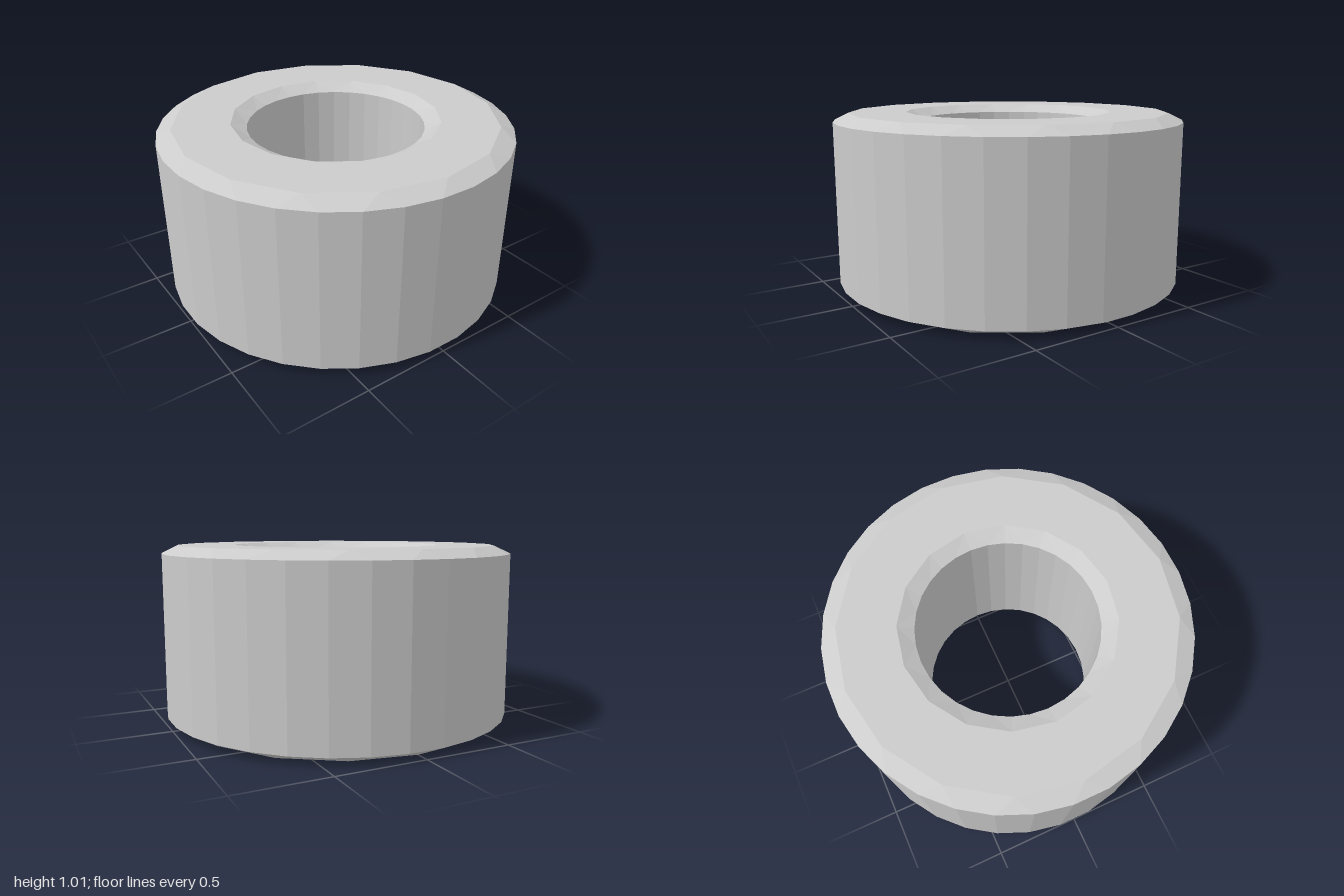
import * as THREE from 'three';

// A ring of n points at height y; phase turns it by a fraction of one step.
function ring(r, y, n, phase = 0) {
  const angle = i => (i + phase) * 2 * Math.PI / n;
  const point = i => [r * Math.sin(angle(i)), y, r * Math.cos(angle(i))];
  return { n, angle, point };
}

// Stitch two rings, which may have different numbers of points.
function stitch(a, b, out) {
  let i = 0, j = 0;
  while (i < a.n || j < b.n) {
    const stepA = j === b.n || (i < a.n && a.angle(i + 1) <= b.angle(j + 1) + 1e-6);
    const next = stepA ? a.point(i + 1) : b.point(j + 1);
    out.push(...a.point(i), ...next, ...b.point(j));
    if (stepA) i++; else j++;
  }
}

export function createModel() {
  const height = 1.01, bevel = 0.045;
  const outer = 1 / Math.cos(Math.PI / 32);

  // Closed section: up the outside, across the top, down the bore, back underneath
  const section = [
    ring(outer, bevel, 32, 0.5),
    ring(outer, height - bevel, 32, 0.5),
    ring(0.92, height, 16),
    ring(0.595, height, 16),
    ring(0.505, height - bevel, 32),
    ring(0.505, bevel, 32),
    ring(0.595, 0, 16),
    ring(0.92, 0, 16),
  ];
  const positions = [];
  section.forEach((r, k) => stitch(r, section[(k + 1) % section.length], positions));

  const geometry = new THREE.BufferGeometry();
  geometry.setAttribute('position', new THREE.Float32BufferAttribute(positions, 3));
  geometry.computeVertexNormals();

  const body = new THREE.Mesh(
    geometry,
    new THREE.MeshStandardMaterial({ color: 0xcccccc, flatShading: true })
  );
  body.name = 'bevelledRing';

  const group = new THREE.Group();
  group.name = 'spacerRing';
  group.add(body);
  return group;
}
